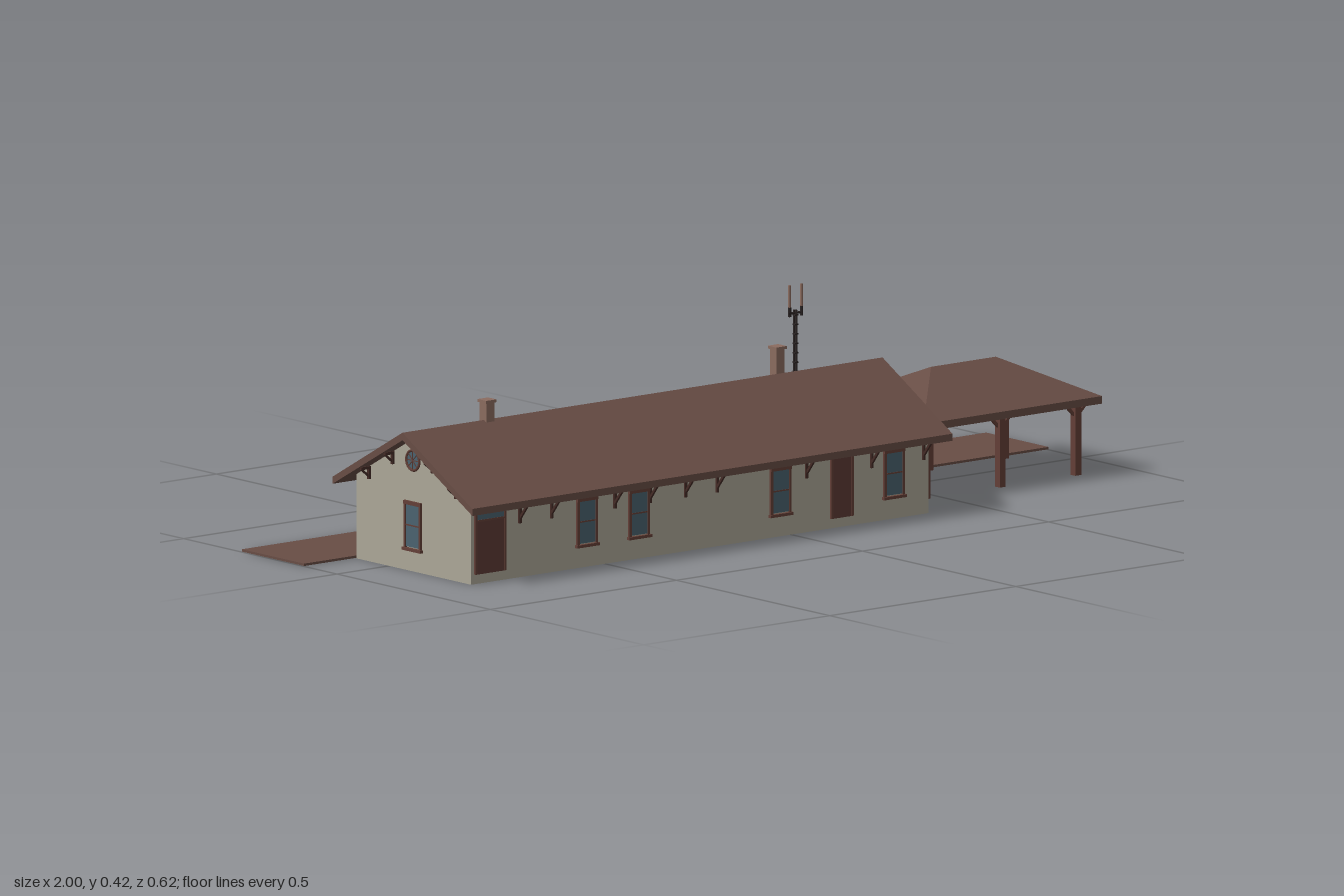
import * as THREE from 'three';
import { ConvexGeometry } from 'three/addons/geometries/ConvexGeometry.js';

const material = (name, color) => {
  const m = new THREE.MeshStandardMaterial({ color });
  m.name = name;
  return m;
};

export function createModel() {
  const wall = material('stucco', 0xaba797);
  const roofing = material('roof brown', 0x684d45);
  const trim = material('trim brown', 0x633f37);
  const doorPaint = material('door brown', 0x5c3a34);
  const glass = material('window glass', 0x4a626f);
  const brick = material('chimney brick', 0x8a6b5f);
  const iron = material('dark iron', 0x2b2525);
  const bracketPaint = material('bracket brown', 0x442b26);
  const model = new THREE.Group();
  model.name = 'station';

  function add(name, geometry, mat, parent = model) {
    const mesh = new THREE.Mesh(geometry, mat);
    mesh.name = name;
    parent.add(mesh);
    return mesh;
  }
  function box(name, w, h, d, x, y, z, mat, parent) {
    const mesh = add(name, new THREE.BoxGeometry(w, h, d), mat, parent);
    mesh.position.set(x, y, z);
    return mesh;
  }
  // square bar between two points
  function bar(name, a, b, size, mat, parent) {
    const p = new THREE.Vector3(...a), q = new THREE.Vector3(...b);
    const mesh = add(name, new THREE.BoxGeometry(size, size, p.distanceTo(q)), mat, parent);
    mesh.position.copy(p).add(q).multiplyScalar(0.5);
    mesh.lookAt(q);
    return mesh;
  }
  // profile given as [z, y], extruded from x0 to x1
  function extrudeX(name, points, x0, x1, mat) {
    const shape = new THREE.Shape(points.map(p => new THREE.Vector2(...p)));
    const g = new THREE.ExtrudeGeometry(shape, { depth: x1 - x0, bevelEnabled: false });
    g.rotateY(-Math.PI / 2).translate(x1, 0, 0);
    return add(name, g, mat);
  }
  // hipped roof with a fascia and a ridge along x
  function hipRoof(name, [x0, x1], [z0, z1], [y0, y1, y2], [r0, r1], rz) {
    const pts = [];
    for (const x of [x0, x1]) for (const z of [z0, z1]) for (const y of [y0, y1])
      pts.push(new THREE.Vector3(x, y, z));
    pts.push(new THREE.Vector3(r0, y2, rz), new THREE.Vector3(r1, y2, rz));
    add(name, new ConvexGeometry(pts), roofing);
  }
  function place(name, x, y, z, turn) {
    const g = new THREE.Group();
    g.name = name;
    g.position.set(x, y, z);
    g.rotation.y = turn;
    model.add(g);
    return g;
  }

  // sash window, origin at the wall surface, facing local +z
  function windowUnit(x, z, turn, w = 0.055) {
    const g = place('window', x, 0.097, z, turn), h = 0.1;
    box('pane', w - 0.008, h - 0.008, 0.004, 0, 0, 0.001, glass, g);
    for (const s of [-1, 1]) box('jamb', 0.006, h, 0.008, s * (w / 2 - 0.003), 0, 0.001, trim, g);
    box('head', w, 0.008, 0.009, 0, h / 2 - 0.003, 0.001, trim, g);
    box('sill', w + 0.006, 0.006, 0.012, 0, -h / 2 - 0.001, 0.002, trim, g);
    box('meetingRail', w - 0.01, 0.003, 0.006, 0, 0, 0.001, trim, g);
  }
  // panelled door with frame, optional glazed transom
  function doorUnit(x, z, turn, w, transom) {
    const g = place('door', x, 0, z, turn);
    box('doorLeaf', w - 0.008, 0.13, 0.004, 0, 0.085, 0.001, doorPaint, g);
    for (const s of [-1, 1]) box('doorJamb', 0.005, 0.135, 0.008, s * (w / 2 - 0.0025), 0.088, 0.001, trim, g);
    box('doorHead', w, 0.006, 0.008, 0, 0.157, 0.001, trim, g);
    if (transom) {
      box('transom', w - 0.012, 0.016, 0.004, 0, 0.143, 0.002, glass, g);
      box('transomRail', w - 0.01, 0.004, 0.008, 0, 0.133, 0.001, trim, g);
    }
  }

  // main hall
  const X0 = -0.86, X1 = 0.37, ZF = 0.267, ZB = -0.107, RZ = 0.08;
  extrudeX('hallWalls', [[ZB, 0], [ZF, 0], [ZF, 0.178], [RZ, 0.284], [ZB, 0.178]].reverse(), X0, X1, wall);
  extrudeX('mainRoof', [[-0.148, 0.17], [RZ, 0.297], [0.308, 0.17], [0.308, 0.155], [RZ, 0.281], [-0.148, 0.155]],
    -0.89, 0.4, roofing);

  // platform
  box('platform', 2, 0.005, 0.203, 0, 0.0035, -0.2085, roofing);

  // windows and doors on the long walls
  for (const x of [-0.55, -0.41, -0.03, 0.275]) windowUnit(x, ZF, 0);
  for (const x of [0.3, -0.24, -0.46, -0.56]) windowUnit(x, ZB, Math.PI);
  doorUnit(-0.81, ZF, 0, 0.083, true);
  doorUnit(0.135, ZF, 0, 0.06, false);
  doorUnit(-0.37, ZB, Math.PI, 0.06, false);
  doorUnit(-0.75, ZB, Math.PI, 0.1, true);

  // gable ends
  windowUnit(X1, 0.165, Math.PI / 2);
  windowUnit(X1, -0.02, Math.PI / 2);
  windowUnit(X0, RZ, -Math.PI / 2);
  for (const [x, s] of [[X1, 1], [X0, -1]]) {
    const g = place('roundWindow', x, 0.235, RZ, s * Math.PI / 2);
    add('roundPane', new THREE.CircleGeometry(0.021, 24), glass, g).position.z = 0.002;
    add('roundFrame', new THREE.TorusGeometry(0.021, 0.003, 6, 28), trim, g).position.z = 0.002;
    for (let i = 0; i < 4; i++)
      box('glazingBar', 0.042, 0.0015, 0.003, 0, 0, 0.002, trim, g).rotation.z = i * Math.PI / 4;
    for (const dz of [-0.142, -0.065, 0.065, 0.142]) {
      const top = 0.28 - Math.abs(dz) * 0.555;
      box('gableBracket', 0.026, 0.006, 0.006, x + s * 0.012, top - 0.002, RZ + dz, bracketPaint);
      box('gableBracketPost', 0.006, 0.026, 0.006, x + s * 0.003, top - 0.013, RZ + dz, bracketPaint);
      bar('gableBrace', [x, top - 0.024, RZ + dz], [x + s * 0.024, top - 0.003, RZ + dz], 0.004, bracketPaint);
    }
  }

  // eave brackets
  for (const [z, s, xs] of [
    [ZF, 1, [-0.73, -0.645, -0.475, -0.38, -0.285, -0.2, 0.04, 0.215, 0.355]],
    [ZB, -1, [0.355, 0.215, 0.12, -0.19, -0.3, -0.42, -0.51, -0.65, -0.83]]]) {
    for (const x of xs) {
      box('eaveBracketPost', 0.006, 0.045, 0.005, x, 0.137, z + s * 0.002, bracketPaint);
      bar('eaveBrace', [x, 0.122, z], [x, 0.16, z + s * 0.03], 0.005, bracketPaint);
    }
  }

  // bay window
  const plan = [[-0.138, 0.1], [0.074, 0.1], [0.024, 0.172], [-0.088, 0.172]];
  const bay = new THREE.ExtrudeGeometry(new THREE.Shape(plan.map(p => new THREE.Vector2(...p))),
    { depth: 0.158, bevelEnabled: false });
  bay.rotateX(-Math.PI / 2).translate(0, 0.001, 0);
  add('bayWalls', bay, wall);
  for (const x of [-0.06, -0.004]) windowUnit(x, -0.172, Math.PI, 0.05);
  const tilt = Math.atan2(0.072, 0.05);
  windowUnit(0.0475, -0.138, Math.PI / 2 + Math.PI / 2 - tilt, 0.052);
  windowUnit(-0.1115, -0.138, -Math.PI / 2 - Math.PI / 2 + tilt, 0.052);
  hipRoof('bayRoof', [-0.155, 0.09], [-0.182, -0.104], [0.152, 0.168, 0.189], [-0.12, 0.055], -0.143);

  // chimneys
  for (const [x, z] of [[-0.66, 0.077], [0.174, 0.011]]) {
    box('chimney', 0.022, 0.1, 0.022, x, 0.285, z, brick);
    box('chimneyCap', 0.028, 0.006, 0.028, x, 0.336, z, brick);
  }

  // open shelter
  hipRoof('shelterRoof', [0.43, 0.91], [-0.145, 0.177], [0.151, 0.167, 0.245], [0.583, 0.757], 0.016);
  for (const z of [0.14, -0.095]) {
    box('shelterBeam', 0.421, 0.008, 0.012, 0.6675, 0.148, z, trim);
    for (const x of [0.465, 0.667, 0.87]) {
      box('shelterPost', 0.016, 0.15, 0.016, x, 0.075, z, trim);
      for (const s of [-1, 1])
        bar('shelterBrace', [x, 0.122, z], [x + s * 0.028, 0.15, z], 0.006, trim);
    }
  }
  for (const x of [0.465, 0.87]) box('shelterEndBeam', 0.012, 0.008, 0.235, x, 0.148, 0.0225, trim);

  // lattice mast with two aerials
  const mx = 0.35, mz = -0.143;
  box('mastFoot', 0.016, 0.006, 0.016, mx, 0.008, mz, iron);
  for (const a of [0, 1, 2]) {
    const t = a * Math.PI * 2 / 3;
    box('mastLeg', 0.003, 0.365, 0.003, mx + 0.003 * Math.sin(t), 0.188, mz + 0.003 * Math.cos(t), iron);
  }
  for (let i = 0; i < 18; i++) box('mastRung', 0.009, 0.003, 0.009, mx, 0.02 + i * 0.02, mz, iron);
  box('crossArm', 0.038, 0.004, 0.004, mx, 0.364, mz, iron);
  for (const s of [-1, 1]) {
    box('aerialBase', 0.005, 0.02, 0.005, mx + s * 0.016, 0.367, mz, iron);
    box('aerial', 0.004, 0.05, 0.004, mx + s * 0.016, 0.399, mz, brick);
  }
  return model;
}
